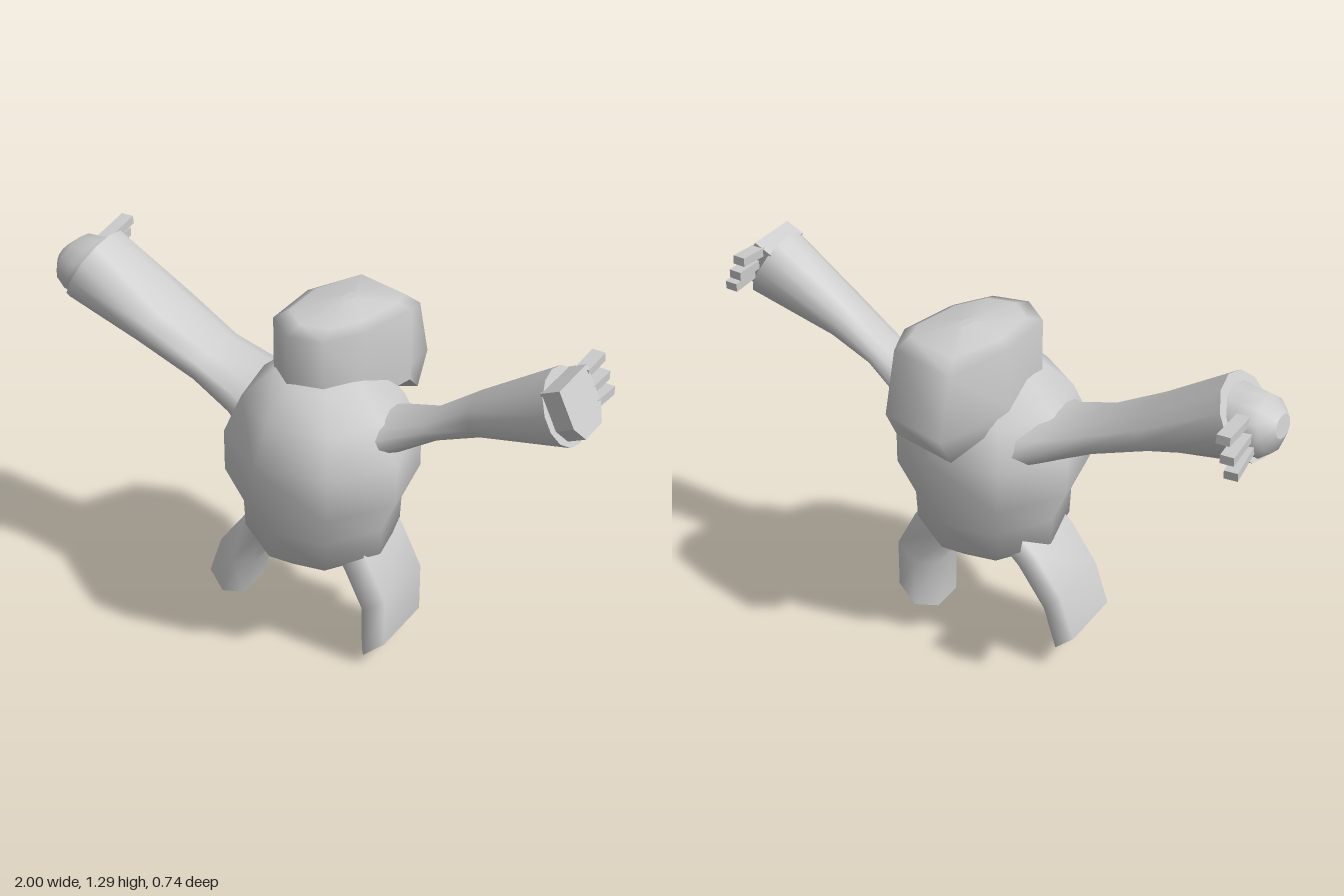
import * as THREE from 'three';

const material = new THREE.MeshStandardMaterial({ color: 0xcccccc, side: THREE.DoubleSide });

function addMesh(parent, name, geometry) {
  const mesh = new THREE.Mesh(geometry, material);
  mesh.name = name;
  parent.add(mesh);
  return mesh;
}

// Smooth skin through rings of equal length, closed by hard-edged caps
function loft(rings) {
  const n = rings[0].length, pos = [], idx = [];
  rings.forEach(r => r.forEach(p => pos.push(...p)));
  for (let i = 0; i < rings.length - 1; i++) {
    for (let j = 0; j < n; j++) {
      const a = i * n + j, b = i * n + (j + 1) % n;
      idx.push(a, b, b + n, a, b + n, a + n);
    }
  }
  [rings[0], rings[rings.length - 1]].forEach((ring, end) => {
    const start = pos.length / 3;
    ring.forEach(p => pos.push(...p));
    pos.push(...[0, 1, 2].map(k => ring.reduce((s, p) => s + p[k], 0) / n));
    for (let j = 0; j < n; j++) {
      const a = start + j, b = start + (j + 1) % n;
      idx.push(...(end ? [a, b, start + n] : [b, a, start + n]));
    }
  });
  // Turn the faces outward when the enclosed volume is negative
  const v = i => new THREE.Vector3().fromArray(pos, i * 3);
  let volume = 0;
  for (let i = 0; i < idx.length; i += 3) {
    volume += v(idx[i]).dot(v(idx[i + 1]).cross(v(idx[i + 2])));
  }
  if (volume < 0) idx.reverse();
  const g = new THREE.BufferGeometry();
  g.setAttribute('position', new THREE.Float32BufferAttribute(pos, 3));
  g.setIndex(idx);
  g.computeVertexNormals();
  return g;
}

// Elliptical ring between a top and a bottom point, zMin..zMax deep
function limbRing([tx, ty, bx, by, zMin, zMax], sides) {
  return Array.from({ length: sides }, (_, i) => {
    const a = i / sides * Math.PI * 2, c = Math.cos(a) / 2, s = Math.sin(a) / 2;
    return [(tx + bx) / 2 + (tx - bx) * c, (ty + by) / 2 + (ty - by) * c,
      (zMin + zMax) / 2 + (zMax - zMin) * s];
  });
}
const limb = (sections, sides = 12) => loft(sections.map(s => limbRing(s, sides)));

// Leg ring: broad on the outer side, narrow on the inner side
function legRing([ox, oy, ix, iy]) {
  const mx = ox * 0.4 + ix * 0.6, my = oy * 0.4 + iy * 0.6;
  return [[ox, oy, 0.15], [mx, my, 0.17], [ix, iy, 0.1],
    [ix, iy, -0.02], [mx, my, -0.1], [ox, oy, -0.09]];
}

function addFingers(parent, fingers) {
  fingers.forEach(([x, y, z, length, yaw, pitch]) => {
    const f = addMesh(parent, 'finger', new THREE.BoxGeometry(0.045, 0.03, length));
    f.position.set(x, y, z);
    f.rotation.set(pitch, yaw, 0);
  });
}

export function createModel() {
  const group = new THREE.Group();

  // Eight-sided rounded torso
  const profile = [[0, 0.31], [0.15, 0.34], [0.26, 0.43], [0.265, 0.53], [0.325, 0.66],
    [0.325, 0.81], [0.265, 0.945], [0.16, 1.04], [0, 1.06]].map(p => new THREE.Vector2(...p));
  const torso = addMesh(group, 'torso', new THREE.LatheGeometry(profile, 8));
  torso.rotation.y = -Math.PI / 180 * 11;
  torso.position.set(0.05, 0, 0.05);

  // Head with an overhanging muzzle towards -z
  const outline = [[-0.01, -0.37], [0.23, -0.32], [0.25, -0.17], [0.2, 0.04],
    [0.12, 0.16], [0, 0.19], [-0.1, 0.11], [-0.1, -0.1]];
  // Levels: muzzle height, skull height, muzzle setback, scale
  const levels = [[0.87, 0.95, 0.06, 1], [0.98, 1.0, 0, 1], [1.19, 1.215, 0.06, 1],
    [1.23, 1.235, 0.06, 0.78], [1.253, 1.253, 0, 0.1]];
  addMesh(group, 'head', loft(levels.map(([yMuzzle, ySkull, setback, s]) =>
    outline.map(([x, z], i) => [0.07 + (x - 0.07) * s, i < 2 ? yMuzzle : ySkull,
      -0.08 + (z + (i < 2 ? setback : 0) + 0.08) * s]))));

  // Broad right arm with a domed hand
  const rightArm = new THREE.Group();
  rightArm.name = 'rightArm';
  group.add(rightArm);
  addMesh(rightArm, 'rightSleeve', limb([
    [-0.06, 0.95, -0.1, 0.72, -0.19, 0.27], [-0.2, 0.94, -0.26, 0.81, -0.13, 0.19],
    [-0.37, 1.0, -0.4, 0.88, -0.105, 0.17], [-0.55, 1.1, -0.62, 0.97, -0.12, 0.19],
    [-0.8, 1.28, -0.94, 1.02, -0.11, 0.17]]));
  addMesh(rightArm, 'rightHand', limb([
    [-0.8, 1.25, -0.91, 1.04, -0.08, 0.15], [-0.86, 1.24, -0.95, 1.04, -0.09, 0.15],
    [-0.93, 1.235, -0.985, 1.07, -0.075, 0.13], [-0.985, 1.19, -1.0, 1.12, -0.02, 0.08]]));
  addFingers(rightArm, [[-0.9, 1.2, -0.13, 0.16, 0.06, 0.1],
    [-0.92, 1.15, -0.14, 0.16, 0.08, 0], [-0.93, 1.1, -0.13, 0.16, 0.1, -0.1]]);

  // Slimmer left arm with a faceted hand plate
  const leftArm = new THREE.Group();
  leftArm.name = 'leftArm';
  group.add(leftArm);
  addMesh(leftArm, 'leftSleeve', limb([
    [0.16, 0.94, 0.2, 0.72, -0.17, 0.24], [0.27, 0.945, 0.32, 0.81, -0.1, 0.15],
    [0.44, 1.0, 0.5, 0.93, -0.055, 0.12], [0.6, 1.12, 0.64, 0.985, -0.06, 0.125],
    [0.85, 1.29, 0.96, 1.06, -0.09, 0.16]], 14));
  const plate = [[0, 0.13], [0, -0.055], [0.7, -0.055], [1, -0.02], [1, 0.09], [0.7, 0.13]];
  addMesh(leftArm, 'leftHand', loft([0, 0.07].map(d => plate.map(([t, z]) =>
    [0.86 + 0.08 * t + d * 0.9, 1.255 - 0.165 * t + d * 0.42, z]))).toNonIndexed())
    .geometry.computeVertexNormals();
  addFingers(leftArm, [[0.915, 1.26, -0.1, 0.11, -0.03, -0.06 + 0.13],
    [0.935, 1.205, -0.1, 0.11, -0.03, 0], [0.955, 1.16, -0.1, 0.11, -0.03, -0.07]]);

  // Short bent legs ending in slanted stumps
  const legs = {
    rightLeg: [[-0.12, 0.5, -0.02, 0.42], [-0.2, 0.43, -0.1, 0.34],
      [-0.3, 0.29, -0.2, 0.2], [-0.35, 0.14, -0.245, 0.05]],
    leftLeg: [[0.22, 0.52, 0.1, 0.42], [0.28, 0.43, 0.16, 0.34],
      [0.355, 0.28, 0.235, 0.19], [0.355, 0.1, 0.24, 0]]
  };
  for (const name in legs) addMesh(group, name, loft(legs[name].map(legRing)));

  return group;
}
